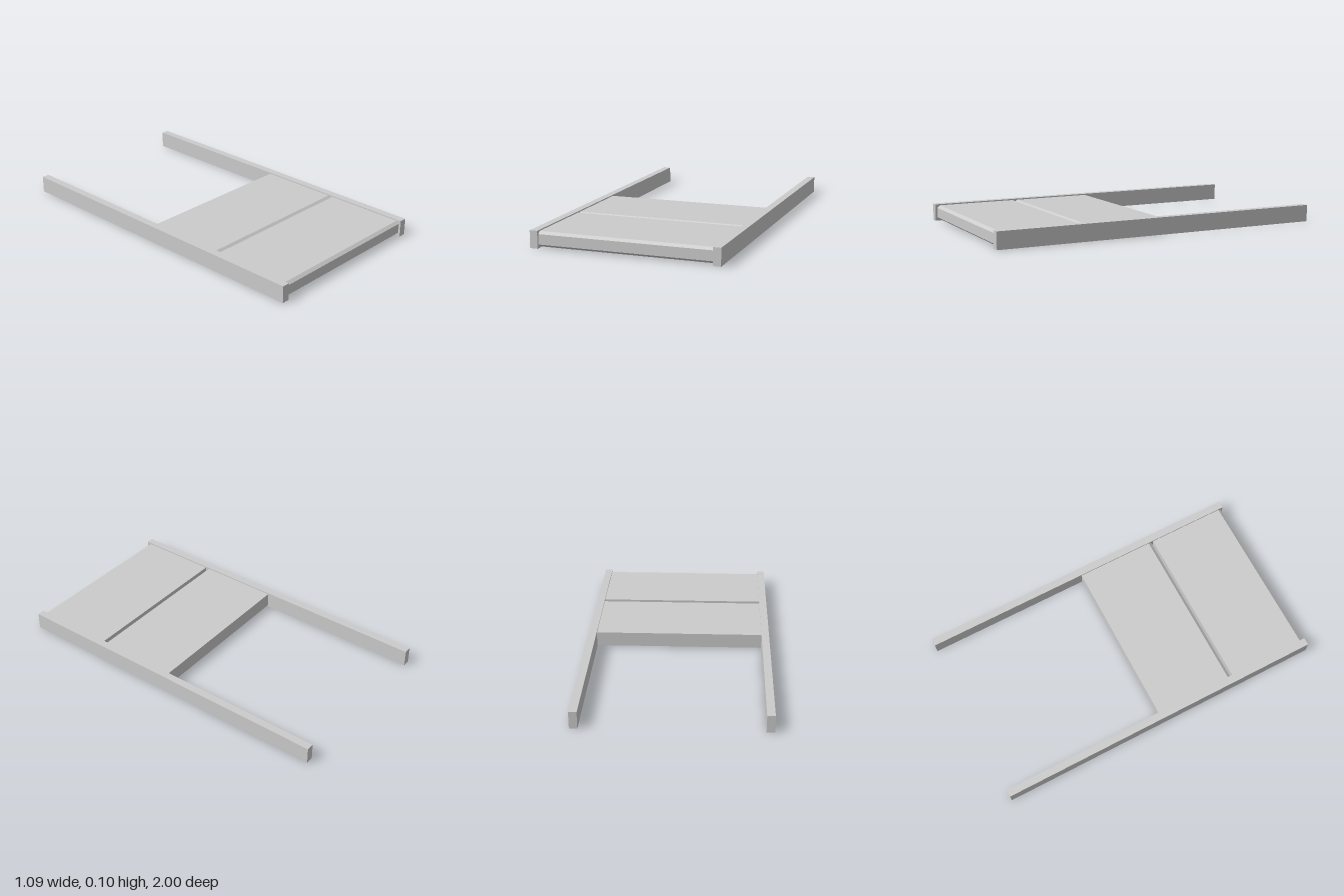
import * as THREE from 'three';

export function createModel() {
  const model = new THREE.Group();
  const material = new THREE.MeshStandardMaterial({ color: 0xcccccc, flatShading: true });
  const add = (name, geometry, x, y, z) => {
    const mesh = new THREE.Mesh(geometry, material);
    mesh.name = name;
    mesh.position.set(x, y, z);
    model.add(mesh);
    return mesh;
  };

  // Long side rails
  const railWidth = 0.045, railHeight = 0.1, inner = 0.5;
  for (const [name, side] of [['leftRail', 1], ['rightRail', -1]]) {
    add(name, new THREE.BoxGeometry(railWidth, railHeight, 2),
      side * (inner + railWidth / 2), railHeight / 2, 0);
  }

  // Deck board section: square back edge, front edge chamfered above and below
  const depth = 0.49, bottom = 0.007, top = 0.093, rise = 0.014, run = 0.018;
  const section = new THREE.Shape([
    [0, bottom], [depth - run, bottom], [depth, bottom + rise],
    [depth, top - rise], [depth - run, top], [0, top],
  ].map(([z, y]) => new THREE.Vector2(-z, y)));
  const board = new THREE.ExtrudeGeometry(section, { depth: inner * 2, bevelEnabled: false });
  board.rotateY(Math.PI / 2); // section runs toward +z, extrusion along x

  // Two boards with a narrow gap between them
  [['rearBoard', -0.004], ['frontBoard', 0.498]].forEach(([name, z]) => add(name, board, -inner, 0, z));

  return model;
}
